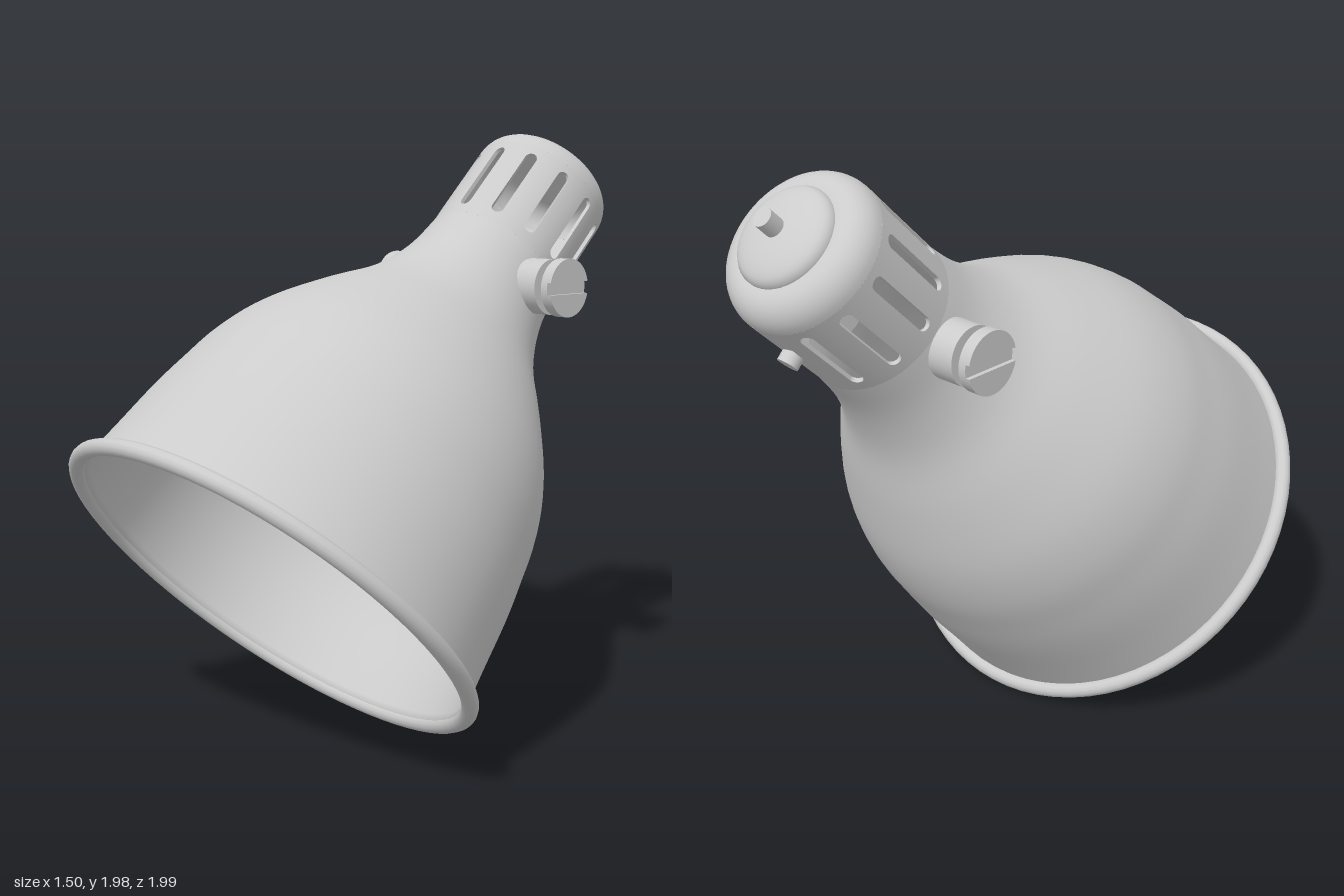
import * as THREE from 'three';

const TILT = -0.797;      // lean of the lamp axis
const NECK_R = 0.248;     // outer radius of the slotted neck
const WALL = 0.014;       // sheet metal thickness
const NECK_LOW = 1.43, NECK_HIGH = 1.77;
const SLOTS = 12;
const V = (x, y) => new THREE.Vector2(x, y);

const metal = new THREE.MeshStandardMaterial({ color: 0xcccccc });

function add(parent, name, geometry) {
  const mesh = new THREE.Mesh(geometry, metal);
  mesh.name = name;
  parent.add(mesh);
  return mesh;
}

// Bell-shaped double wall: down the inside, round the lip, up the outside
function shadeGeometry() {
  const outer = new THREE.SplineCurve([
    V(0.71, 0.01), V(0.695, 0.14), V(0.677, 0.32), V(0.655, 0.46), V(0.625, 0.61), V(0.562, 0.77),
    V(0.449, 0.953), V(0.334, 1.119), V(0.271, 1.28), V(NECK_R, NECK_LOW),
  ]).getPoints(36);
  const inner = outer.map((p) => V(p.x - WALL, p.y)).reverse();
  return new THREE.LatheGeometry([...inner, ...outer], 64);
}

// One panel of the neck, with or without a slot, bent round the axis
function neckPanel(slotted) {
  const half = (Math.PI / SLOTS) * NECK_R;
  const shape = new THREE.Shape();
  const steps = 6;
  for (let i = 0; i <= steps; i++) {
    const x = -half + (2 * half * i) / steps;
    if (i) shape.lineTo(x, NECK_LOW); else shape.moveTo(x, NECK_LOW);
  }
  for (let i = 0; i <= steps; i++) shape.lineTo(half - (2 * half * i) / steps, NECK_HIGH);
  if (slotted) {
    const w = 0.021, slot = new THREE.Path();
    slot.absarc(0, 1.72, w, 0, Math.PI, false);
    slot.absarc(0, 1.49, w, Math.PI, Math.PI * 2, false);
    shape.holes.push(slot);
  }
  const geo = new THREE.ExtrudeGeometry(shape, { depth: WALL, bevelEnabled: false, curveSegments: 8 });
  const p = geo.attributes.position, n = geo.attributes.normal;
  for (let i = 0; i < p.count; i++) {
    const a = p.getX(i) / NECK_R, s = Math.sin(a), c = Math.cos(a);
    const r = NECK_R - WALL + p.getZ(i);
    p.setXYZ(i, r * s, p.getY(i), r * c);
    const nx = n.getX(i), nz = n.getZ(i);
    n.setXYZ(i, nx * c + nz * s, n.getY(i), nz * c - nx * s);
  }
  return geo;
}

// Rounded closed end of the neck
function capGeometry() {
  const outer = [V(NECK_R, NECK_HIGH)];
  for (let i = 1; i <= 8; i++) {
    const a = (i / 8) * Math.PI / 2;
    outer.push(V(0.165 + (NECK_R - 0.165) * Math.cos(a), NECK_HIGH + 0.09 * Math.sin(a)));
  }
  outer.push(V(0, NECK_HIGH + 0.09));
  const inner = outer.map((p) => V(Math.max(0, p.x - WALL), p.y - (p.y > NECK_HIGH ? WALL : 0))).reverse();
  return new THREE.LatheGeometry([...outer, ...inner], 64);
}

// Cylinder lying along x from x0 to x1
function rod(radius, x0, x1, sides = 40) {
  return new THREE.CylinderGeometry(radius, radius, x1 - x0, sides)
    .rotateZ(-Math.PI / 2).translate((x0 + x1) / 2, 0, 0);
}

// Side pivot: collar, pin and a disc head with a screwdriver groove
function pivotKnob(side) {
  const knob = new THREE.Group();
  knob.name = side > 0 ? 'leftPivotKnob' : 'rightPivotKnob';
  add(knob, 'pivotCollar', rod(0.092, 0.225, 0.333));
  add(knob, 'pivotPin', rod(0.025, 0.32, 0.37, 16));
  add(knob, 'knobDisc', rod(0.096, 0.364, 0.39));
  const a = Math.asin(0.02 / 0.096);
  const segment = new THREE.Shape();
  segment.absarc(0, 0, 0.096, a, Math.PI - a, false);
  for (const turn of [0, Math.PI]) {
    const geo = new THREE.ExtrudeGeometry(segment, { depth: 0.014, bevelEnabled: false, curveSegments: 24 });
    add(knob, 'knobFace', geo.rotateZ(turn).rotateY(Math.PI / 2).translate(0.39, 0, 0));
  }
  knob.position.y = 1.337;
  knob.rotation.set(-TILT, side > 0 ? 0 : Math.PI, 0);
  return knob;
}

export function createModel() {
  const model = new THREE.Group();
  model.name = 'lampShade';
  const lamp = new THREE.Group();
  lamp.name = 'tiltedLamp';
  lamp.position.set(0, 0.545, 0.465);
  lamp.rotation.x = TILT;
  model.add(lamp);

  add(lamp, 'shade', shadeGeometry());

  // Rolled bead round the open end
  add(lamp, 'rim', new THREE.TorusGeometry(0.723, 0.027, 12, 72).rotateX(Math.PI / 2).translate(0, 0.009, 0));

  // Vented neck; the rear panel carries a screw instead of a slot
  const neck = new THREE.Group();
  neck.name = 'ventedNeck';
  lamp.add(neck);
  const slotted = neckPanel(true), plain = neckPanel(false);
  for (let i = 0; i < SLOTS; i++) {
    const rear = i === SLOTS / 2;
    add(neck, rear ? 'rearPanel' : 'slottedPanel', rear ? plain : slotted).rotation.y = (i / SLOTS) * Math.PI * 2;
  }
  add(lamp, 'rearScrew', new THREE.CylinderGeometry(0.033, 0.033, 0.05, 20)
    .rotateX(Math.PI / 2).translate(0, 1.625, -0.252));

  // End cap with shallow dome and pin
  add(lamp, 'endCap', capGeometry());
  const dome = [V(0.157, 1.855), V(0.157, 1.868)];
  for (let i = 1; i <= 8; i++) {
    const a = (i / 8) * Math.PI / 2;
    dome.push(V(0.152 * Math.cos(a), 1.872 + 0.042 * Math.sin(a)));
  }
  add(lamp, 'capDome', new THREE.LatheGeometry(dome, 48));
  add(lamp, 'capPin', new THREE.CylinderGeometry(0.03, 0.03, 0.08, 20).translate(0, 1.928, 0));

  for (const side of [1, -1]) lamp.add(pivotKnob(side));
  return model;
}
